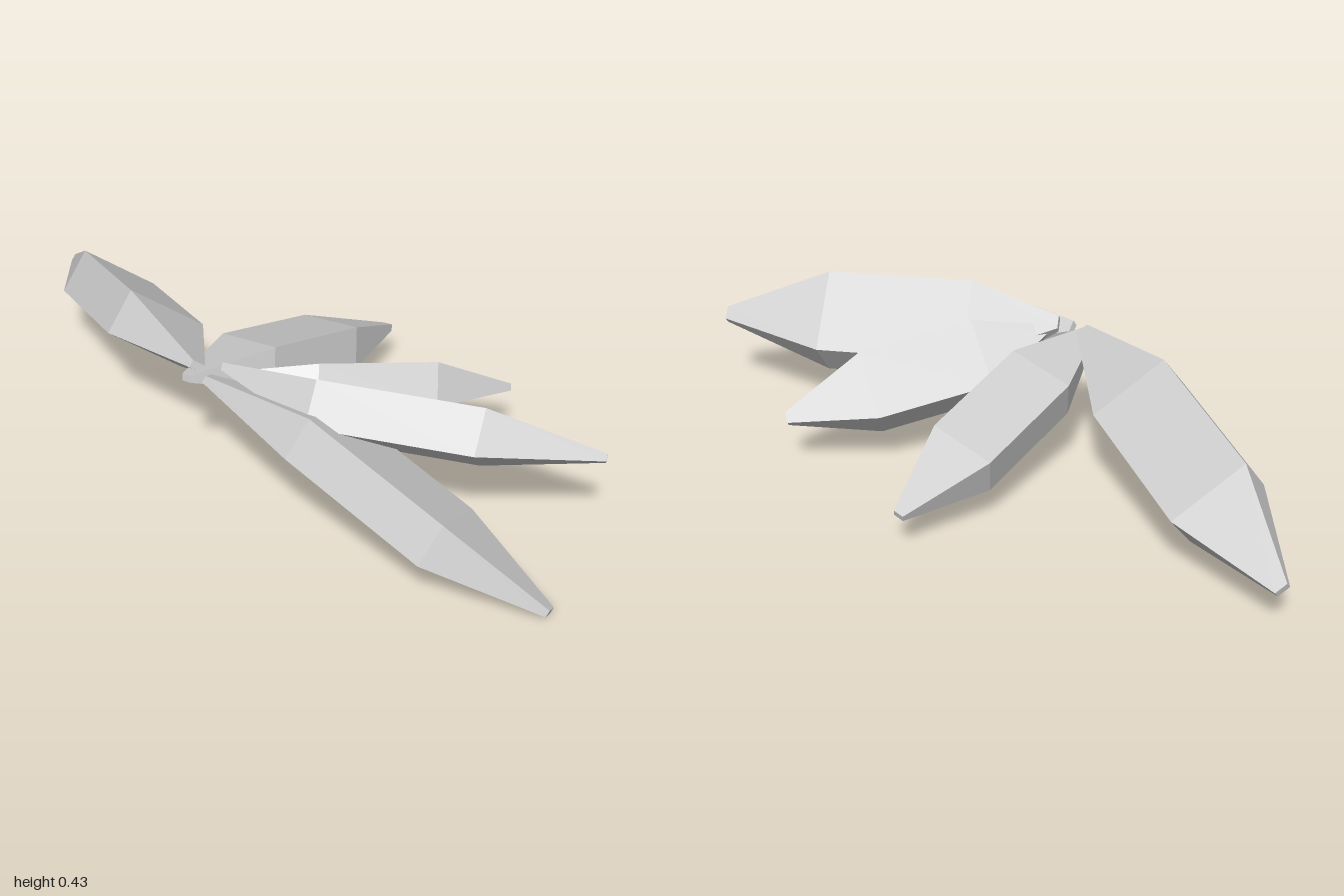
import * as THREE from 'three';

const material = new THREE.MeshStandardMaterial({ color: 0xcccccc, flatShading: true });
const END_SCALE = 0.16;

// Each leaf: centres of its four rectangular sections (base to tip),
// plus the half-width and half-thickness vectors of the broad sections.
const LEAVES = [
  {
    name: 'rightLeaf',
    path: [[-0.045, 0.35, 0.355], [-0.33, 0.29, 0.235], [-0.71, 0.198, 0.07], [-0.992, 0.128, -0.055]],
    width: [-0.053, 0.07, 0.082], thickness: [0.004, 0.051, -0.042],
  },
  {
    name: 'backLeaf',
    path: [[-0.045, 0.333, 0.395], [-0.05, 0.27, 0.16], [-0.05, 0.18, -0.17], [-0.045, 0.117, -0.418]],
    width: [0.098, 0.02, 0], thickness: [-0.0125, 0.055, -0.015],
  },
  {
    name: 'backLeftLeaf',
    path: [[0.05, 0.34, 0.3], [0.155, 0.27, 0.15], [0.33, 0.22, -0.125], [0.46, 0.175, -0.33]],
    width: [0.075, 0.06, 0.04], thickness: [-0.025, 0.045, -0.03],
  },
  {
    name: 'upperLeftLeaf',
    path: [[0.02, 0.362, 0.325], [0.264, 0.295, 0.23], [0.64, 0.28, 0.025], [0.912, 0.268, -0.127]],
    width: [0.048, 0.08, 0.08], thickness: [-0.012, 0.05, -0.035],
  },
  {
    name: 'frontLeftLeaf',
    path: [[0, 0.338, 0.365], [0.3, 0.265, 0.28], [0.7, 0.12, 0.24], [0.992, 0.016, 0.192]],
    width: [0.035, 0.052, 0.105], thickness: [0.013, 0.052, -0.03],
  },
];

// Thick faceted leaf: four rectangular sections joined and capped
function leafGeometry({ path, width, thickness }) {
  const centres = path.map((p) => new THREE.Vector3(...p));
  const u = new THREE.Vector3(...width);
  const v = new THREE.Vector3(...thickness);
  const axis = centres[3].clone().sub(centres[0]);
  if (u.clone().cross(v).dot(axis) < 0) u.negate(); // keep faces outward

  const positions = [];
  centres.forEach((centre, i) => {
    const s = i === 0 || i === 3 ? END_SCALE : 1;
    for (const [a, b] of [[1, 1], [-1, 1], [-1, -1], [1, -1]]) {
      const p = centre.clone().addScaledVector(u, a * s).addScaledVector(v, b * s);
      positions.push(p.x, p.y, p.z);
    }
  });

  const index = [0, 2, 1, 0, 3, 2, 12, 13, 14, 12, 14, 15]; // end caps
  for (let i = 0; i < 3; i++) {
    for (let k = 0; k < 4; k++) {
      const a = i * 4 + k;
      const b = i * 4 + ((k + 1) % 4);
      index.push(a, b, b + 4, a, b + 4, a + 4);
    }
  }

  const indexed = new THREE.BufferGeometry();
  indexed.setAttribute('position', new THREE.Float32BufferAttribute(positions, 3));
  indexed.setIndex(index);
  const geometry = indexed.toNonIndexed();
  geometry.computeVertexNormals();
  return geometry;
}

export function createModel() {
  const group = new THREE.Group();
  group.name = 'leafCluster';
  for (const leaf of LEAVES) {
    const mesh = new THREE.Mesh(leafGeometry(leaf), material);
    mesh.name = leaf.name;
    group.add(mesh);
  }
  return group;
}
